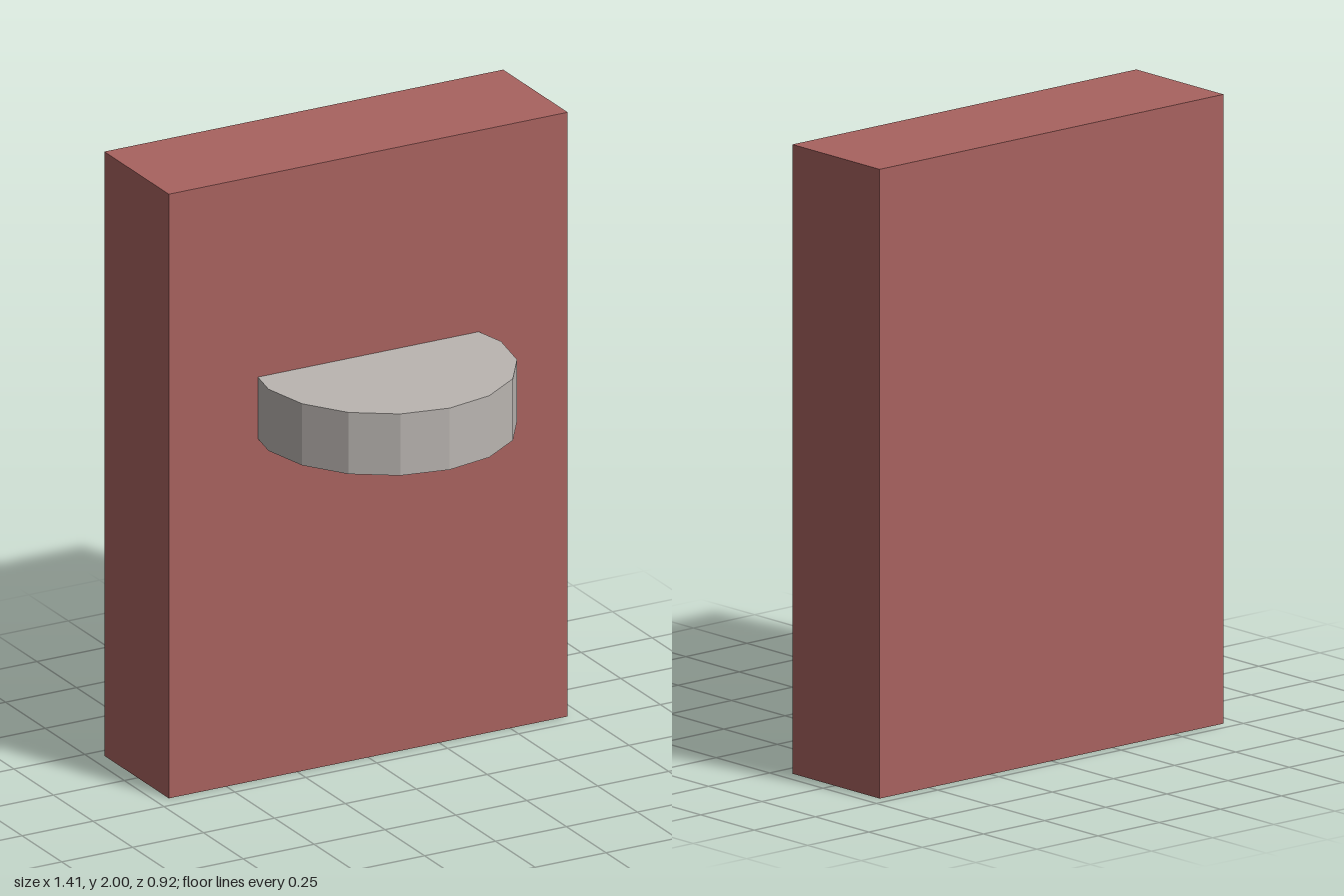
import * as THREE from 'three';

export function createModel() {
  const group = new THREE.Group();
  const brickRed = new THREE.MeshStandardMaterial({ color: 0xa8625f });
  brickRed.name = 'brickRed';
  const stoneGrey = new THREE.MeshStandardMaterial({ color: 0xbab5b1 });
  stoneGrey.name = 'stoneGrey';

  // upright wall slab
  const wall = new THREE.Mesh(new THREE.BoxGeometry(1.406, 2, 0.408), brickRed);
  wall.name = 'wall';
  wall.position.set(0, 1, -0.257);

  // sixteen-sided disc, its rear part set into the wall
  const discGeometry = new THREE.CylinderGeometry(0.41, 0.41, 0.204, 16).toNonIndexed();
  discGeometry.computeVertexNormals();
  const ledge = new THREE.Mesh(discGeometry, stoneGrey);
  ledge.name = 'ledge';
  ledge.position.set(0, 1.232, 0.051);

  group.add(wall, ledge);
  return group;
}
